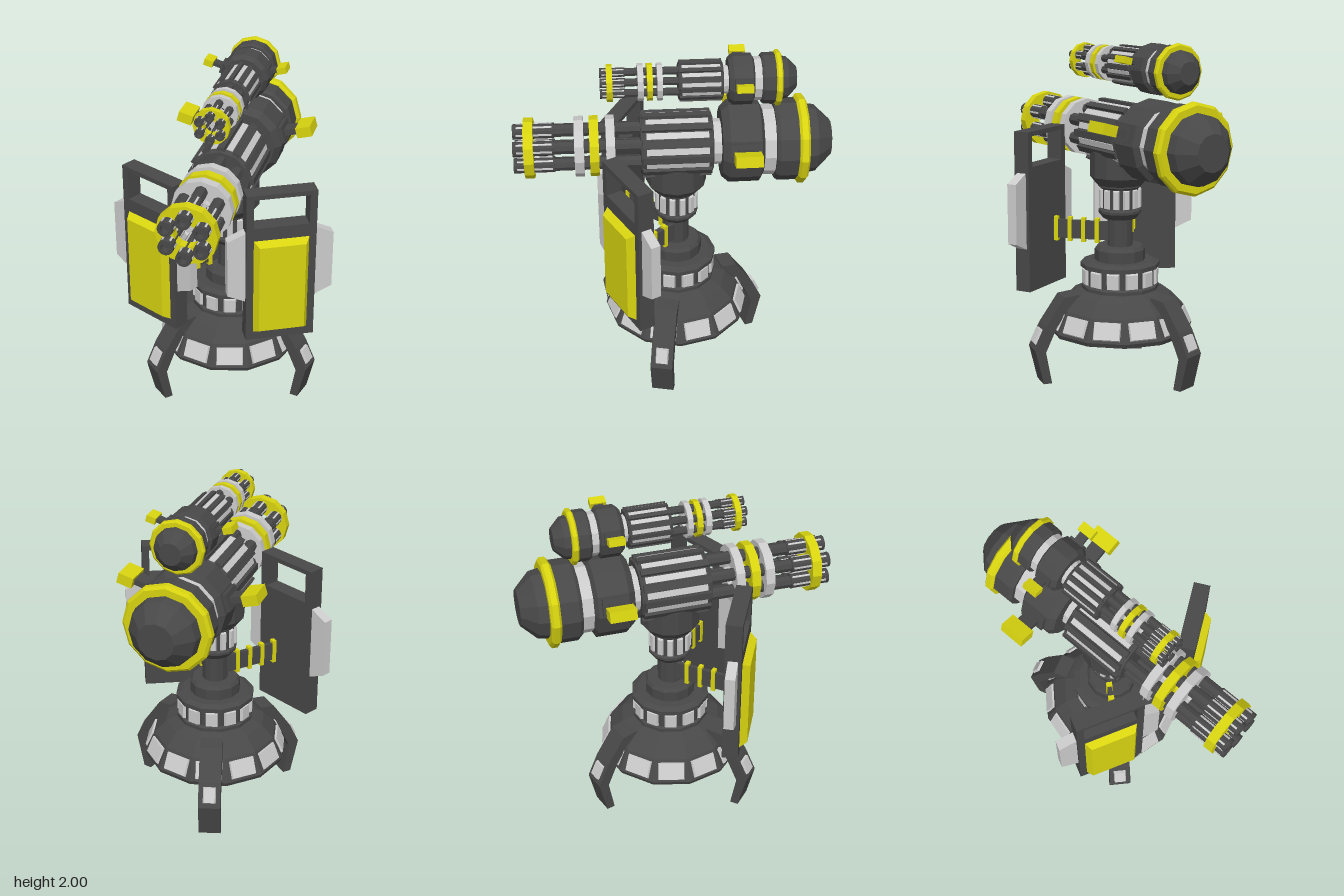
import * as THREE from 'three';

const mat = (color) => new THREE.MeshStandardMaterial({ color, flatShading: true });
const DARK = mat(0x484848);
const LIGHT = mat(0xcccccc);
const YELLOW = mat(0xd8d410);

function add(parent, name, geo, material, x = 0, y = 0, z = 0) {
  const m = new THREE.Mesh(geo, material);
  m.name = name;
  m.position.set(x, y, z);
  parent.add(m);
  return m;
}

function group(parent, name, x = 0, y = 0, z = 0) {
  const g = new THREE.Group();
  g.name = name;
  g.position.set(x, y, z);
  parent.add(g);
  return g;
}

const box = (w, h, d) => new THREE.BoxGeometry(w, h, d);

// Lathe from [radius, height] pairs, bottom to top
const lathe = (pts, sides = 12) =>
  new THREE.LatheGeometry(pts.map(([r, y]) => new THREE.Vector2(r, y)), sides);

// The same, turned so the axis runs along z
const latheZ = (pts, sides = 12) => lathe(pts, sides).rotateX(Math.PI / 2);

// Box whose +z face is inset on all sides
function taperedBox(w, h, d, inset) {
  const g = box(w, h, d);
  const p = g.attributes.position;
  for (let i = 0; i < p.count; i++) {
    if (p.getZ(i) > 0) {
      p.setX(i, p.getX(i) - Math.sign(p.getX(i)) * inset);
      p.setY(i, p.getY(i) - Math.sign(p.getY(i)) * inset);
    }
  }
  g.computeVertexNormals();
  return g;
}

function extrude(pts, depth, holes = []) {
  const vec = (list) => list.map(([x, y]) => new THREE.Vector2(x, y));
  const shape = new THREE.Shape(vec(pts));
  holes.forEach((h) => shape.holes.push(new THREE.Path(vec(h))));
  return new THREE.ExtrudeGeometry(shape, { depth, bevelEnabled: false }).translate(0, 0, -depth / 2);
}

// Light windows set on the flat faces of a 12-sided body
function windowRing(parent, name, r, y, w, h, tilt) {
  for (let i = 0; i < 12; i++) {
    const a = ((i + 0.5) / 12) * Math.PI * 2;
    const m = add(parent, name, taperedBox(w, h, 0.024, 0.008), LIGHT, Math.sin(a) * r, y, Math.cos(a) * r);
    m.rotation.order = 'YXZ';
    m.rotation.set(-tilt, a, 0);
  }
}

// Rotary gun along z, centred on its axis
function makeGun(parent, name) {
  const gun = group(parent, name);

  // Six barrels with fluted, bored muzzles
  const muzzle = [[0, 0.67], [0.043, 0.67], [0.043, 0.9], [0.026, 0.9], [0.026, 0.86], [0, 0.86]];
  for (let i = 0; i < 6; i++) {
    const a = (i / 6) * Math.PI * 2;
    const barrel = group(gun, 'barrel', Math.sin(a) * 0.11, Math.cos(a) * 0.11, 0);
    add(barrel, 'barrelTube', latheZ([[0, 0.1], [0.037, 0.1], [0.037, 0.68], [0, 0.68]], 8), DARK);
    add(barrel, 'muzzle', latheZ(muzzle, 12), DARK);
    for (let k = 0; k < 6; k++) {
      const b = ((k + 0.5) / 6) * Math.PI * 2;
      const s = add(barrel, 'muzzleFlute', box(0.011, 0.008, 0.2), LIGHT, Math.sin(b) * 0.041, Math.cos(b) * 0.041, 0.78);
      s.rotation.z = -b;
    }
  }

  // Barrel clamps
  const clamps = [[0.785, 0.84, YELLOW], [0.504, 0.557, LIGHT], [0.42, 0.472, YELLOW], [0.33, 0.38, LIGHT]];
  for (const [z0, z1, m] of clamps) {
    add(gun, 'barrelClamp', latheZ([[0.07, z0], [0.172, z0], [0.172, z1], [0.07, z1], [0.07, z0]]), m);
  }

  // Ribbed housing
  add(gun, 'housing', latheZ([[0, -0.223], [0.165, -0.223], [0.178, -0.2], [0.178, 0.165], [0.165, 0.186], [0, 0.186]]), DARK);
  for (let i = 0; i < 12; i++) {
    const a = (i / 12) * Math.PI * 2;
    const rib = add(gun, 'housingRib', box(0.04, 0.03, 0.39), DARK, Math.sin(a) * 0.176, Math.cos(a) * 0.176, -0.018);
    rib.rotation.z = -a;
    const b = a + Math.PI / 12;
    const strip = add(gun, 'housingStrip', box(0.036, 0.012, 0.35), LIGHT, Math.sin(b) * 0.171, Math.cos(b) * 0.171, -0.02);
    strip.rotation.z = -b;
  }

  // Rear body, necks, rim and end cap
  add(gun, 'neck', latheZ([[0.13, -0.28], [0.13, -0.21]]), LIGHT);
  add(gun, 'drum', latheZ([[0, -0.504], [0.2, -0.504], [0.235, -0.485], [0.235, -0.31], [0.2, -0.27], [0, -0.27]]), DARK);
  add(gun, 'rearNeck', latheZ([[0.2, -0.58], [0.2, -0.5]]), LIGHT);
  add(gun, 'rearDrum', latheZ([[0, -0.7], [0.235, -0.7], [0.235, -0.59], [0.22, -0.57], [0, -0.57]]), DARK);
  add(gun, 'rim', latheZ([[0, -0.753], [0.24, -0.753], [0.256, -0.74], [0.256, -0.708], [0.24, -0.695], [0, -0.695]]), YELLOW);
  add(gun, 'endCap', latheZ([[0, -0.897], [0.105, -0.897], [0.19, -0.81], [0.2, -0.75], [0, -0.75]]), DARK);

  // Side handles
  for (const s of [1, -1]) {
    const handle = group(gun, 'handle', 0, 0, -0.39);
    handle.rotation.z = s * 0.27;
    add(handle, 'handleArm', box(0.15, 0.035, 0.09), DARK, s * 0.26, 0, 0);
    add(handle, 'handleMount', box(0.04, 0.1, 0.15), DARK, s * 0.23, 0, 0);
    add(handle, 'handleGrip', box(0.09, 0.062, 0.15), YELLOW, s * 0.375, 0, 0);
  }
  return gun;
}

function makeLeg(parent, azimuth) {
  const leg = group(parent, 'leg');
  leg.rotation.y = -azimuth;
  const profile = [[0.27, 0.48], [0.36, 0.42], [0.42, 0.33], [0.485, 0.19], [0.45, 0], [0.5, 0],
    [0.55, 0.21], [0.485, 0.345], [0.37, 0.51], [0.28, 0.52]];
  add(leg, 'legPlate', extrude(profile, 0.13), DARK);
  const w = add(leg, 'legWindow', taperedBox(0.085, 0.105, 0.03, 0.01), LIGHT, 0.518, 0.28, 0);
  w.rotation.order = 'YXZ';
  w.rotation.set(-0.45, Math.PI / 2, 0);
}

function makeShield(parent, s) {
  const shield = group(parent, s > 0 ? 'leftShield' : 'rightShield', s * 0.367, 0, 0.273);
  shield.rotation.y = s * 0.47;

  // Slab with an open slot near the top
  const rect = (w, y0, y1) => [[-w, y0], [w, y0], [w, y1], [-w, y1]];
  add(shield, 'shieldFrame', extrude(rect(0.2, 0.535, 1.475), 0.095, [rect(0.158, 1.27, 1.448)]), DARK);
  add(shield, 'shieldPlate', taperedBox(0.325, 0.61, 0.05, 0.03), YELLOW, 0, 0.89, 0.065);

  // Side wings
  for (const e of [1, -1]) {
    const wing = add(shield, 'shieldWing', extrude([[0, -0.225], [0.108, -0.175], [0.108, 0.175], [0, 0.225]], 0.058), LIGHT, e * 0.196, 1.012, 0);
    if (e < 0) wing.rotation.y = Math.PI;
  }

  // Arm to the post, with upright bands
  const arm = group(parent, 'shieldArm', s * 0.06, 0.87, 0);
  arm.rotation.y = s > 0 ? -0.862 : Math.PI + 0.862;
  add(arm, 'armBar', box(0.4, 0.11, 0.025), DARK, 0.16, 0, 0);
  for (let i = 0; i < 4; i++) add(arm, 'armBand', box(0.025, 0.145, 0.035), YELLOW, 0.075 + i * 0.084, 0, 0);
}

export function createModel() {
  const model = new THREE.Group();
  model.name = 'turret';
  const stand = group(model, 'stand', 0, 0, -0.02);

  // Domed base and collar
  add(stand, 'base', lathe([[0, 0.275], [0.42, 0.275], [0.43, 0.3], [0.37, 0.43], [0.3, 0.5], [0.235, 0.53], [0, 0.53]]), DARK);
  windowRing(stand, 'baseWindow', 0.388, 0.363, 0.165, 0.115, 0.43);
  add(stand, 'collar', lathe([[0.23, 0.52], [0.23, 0.55], [0.215, 0.56], [0.215, 0.655], [0.235, 0.66], [0.235, 0.685], [0.2, 0.7], [0, 0.7]]), DARK);
  windowRing(stand, 'collarWindow', 0.213, 0.607, 0.08, 0.1, 0);

  // Post, swivel neck and gun seat
  add(stand, 'postFoot', lathe([[0.15, 0.69], [0.15, 0.765], [0.135, 0.785], [0, 0.785]]), DARK);
  add(stand, 'post', lathe([[0.075, 0.78], [0.075, 0.97]]), DARK);
  add(stand, 'swivelNeck', lathe([[0, 0.95], [0.1, 0.95], [0.128, 0.985], [0.128, 1.0], [0.115, 1.01], [0.115, 1.13], [0.128, 1.14], [0.128, 1.16]]), DARK);
  windowRing(stand, 'neckWindow', 0.113, 1.07, 0.044, 0.12, 0);
  add(stand, 'gunSeat', lathe([[0, 1.15], [0.135, 1.15], [0.175, 1.2], [0.175, 1.35], [0, 1.35]]), DARK);

  // Three legs
  for (let i = 0; i < 3; i++) makeLeg(stand, 0.23 + (i * Math.PI * 2) / 3);

  // Two shields
  for (const s of [1, -1]) makeShield(model, s);

  // Main gun and the smaller copy above it
  makeGun(model, 'mainGun').position.set(0, 1.445, 0);
  const upper = makeGun(model, 'upperGun');
  upper.position.set(0, 1.847, -0.14);
  upper.scale.setScalar(0.603);
  return model;
}
